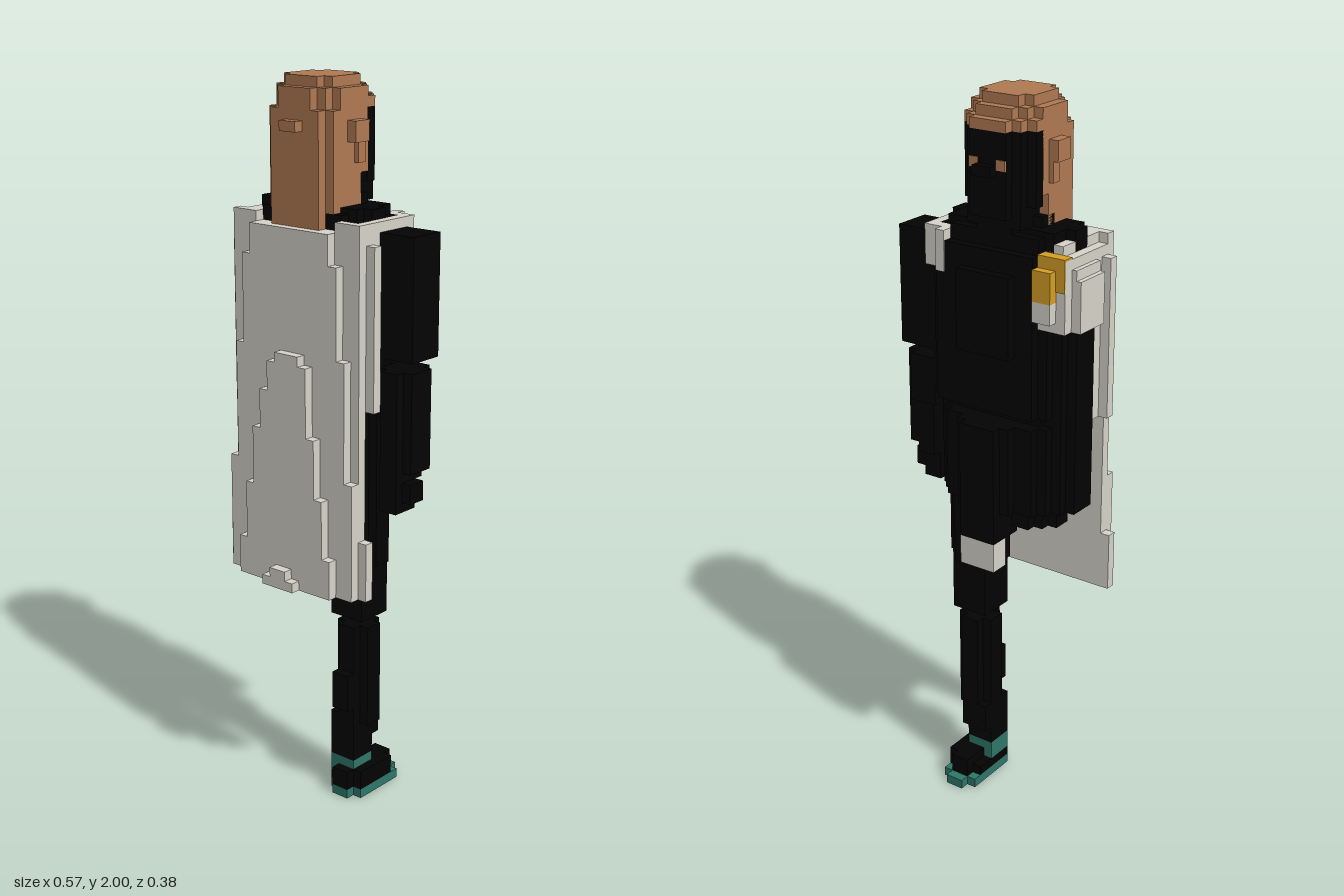
import * as THREE from 'three';
import { mergeGeometries } from 'three/addons/utils/BufferGeometryUtils.js';

// All parts are block-built on a 21 x 74 x 14 lattice
const U = 2 / 74;
const mat = (name, color) => Object.assign(new THREE.MeshStandardMaterial({ color }), { name });

// One block: [x0, x1, y0, y1, z0, z1] in lattice steps
function block([x0, x1, y0, y1, z0, z1]) {
  const g = new THREE.BoxGeometry((x1 - x0) * U, (y1 - y0) * U, (z1 - z0) * U);
  return g.translate(((x0 + x1) / 2 - 10.5) * U, ((y0 + y1) / 2) * U, ((z0 + z1) / 2 - 7) * U);
}

// Blocks forming a column with stepped corners; insets narrow x on each z step inwards
const rounded = (x0, x1, y0, y1, z0, z1, insets = [2, 1, 0]) => insets.map(
  (n, s) => [x0 + n, x1 - n, y0, y1, z0 + s, z1 - s]);

// Rows [y0, y1, x0, x1] stacked in a slab between z0 and z1
const slab = (z0, z1, rows) => rows.map(([y0, y1, x0, x1]) => [x0, x1, y0, y1, z0, z1]);

export function createModel() {
  const root = new THREE.Group();
  const black = mat('black cloth', 0x030303);
  const grey = mat('pale grey cloth', 0xd7d4ca);
  const brown = mat('brown', 0xb17a53);
  const teal = mat('teal', 0x2e7669);
  const gold = mat('gold', 0xd5a026);

  const add = (name, material, blocks) => {
    const mesh = new THREE.Mesh(mergeGeometries(blocks.map(block)), material);
    mesh.name = name;
    root.add(mesh);
  };

  // Head: brown crown and back, dark face, neck
  add('hair', brown, [
    ...rounded(6, 12, 73, 74, 4, 10, [1, 0]),
    ...rounded(5, 13, 72, 73, 3, 11, [2, 1, 0]),
    ...rounded(5, 13, 71, 72, 2, 11, [2, 1, 0]),
    [5, 13, 65, 71, 5, 10], [6, 12, 64, 71, 5, 11],
    [5, 13, 62, 65, 6, 10], [6, 12, 60, 64, 8, 11], [5, 13, 60, 62, 9, 10],
    [8, 10, 69, 70, 11, 12],
  ]);
  add('ears', brown, [
    [4, 5, 68, 70, 6, 8], [4.5, 5, 66, 68, 6, 7],
    [13, 14, 68, 70, 6, 8], [13, 13.5, 66, 68, 6, 7],
  ]);
  add('face', black, [
    [5, 13, 64, 71, 4, 5.1], [6, 12, 63, 71, 3, 5], [7, 11, 63, 71, 2, 5],
    [8, 10, 67, 68, 1, 2], [6, 12, 62, 64, 3, 6],
  ]);
  add('eyes', brown, [[7, 8, 67.5, 68.5, 1.9, 2.1], [10, 11, 67.5, 68.5, 1.9, 2.1]]);
  add('neck', black, rounded(5, 13, 59, 63, 3, 9));

  // Torso, collar and flared jacket
  add('collar', black, [
    [2, 16, 60, 62, 6, 8], [3, 15, 60, 62, 4, 9], [4, 14, 60, 61.5, 3, 10],
    [13, 16, 60, 61, 4, 8], [4, 14, 59, 60.5, 8, 10],
  ]);
  add('chest', black, [
    ...rounded(2, 17, 44, 60, 2, 8, [2, 1, 0]),
    ...rounded(5, 13, 50, 58, 1, 5, [1, 0]),
    [4, 15, 43, 44, 3.5, 8],
  ]);
  add('jacket', black, [
    ...rounded(2, 16, 34, 43, 1, 10, [4, 2, 1, 0]),
    ...rounded(3, 15, 32, 34, 3, 9),
  ]);
  add('frontSleeve', black, [[7, 11, 31, 43, 0, 4]]);
  add('frontHand', grey, [[7, 11, 28, 31, 0, 2]]);

  // Arms
  add('leftUpperArm', black, [[17, 21, 48, 60, 4, 8]]);
  add('leftForearm', black, [[18, 21, 37, 47, 5, 8], [17, 20, 42, 47, 4, 8], [18, 20, 36, 47, 5, 9]]);
  add('leftHand', black, [[18, 20, 33, 37, 6, 9], [20, 21, 34, 36, 6, 8]]);
  add('rightSleeve', black, rounded(1, 5, 34, 54, 4, 9, [1, 0]));

  // Shoulder drapes and gold clasp
  add('leftShoulderDrape', grey, [
    [14, 15, 57, 61, 1.9, 4], [15, 17, 57, 61, 2.9, 4],
    [16, 17, 60, 61, 4, 10], [14, 17, 43, 60, 8, 10],
  ]);
  add('rightShoulderDrape', grey, [
    [0, 2, 53, 58, 4, 8], [1, 4, 53, 60, 2.9, 10], [2, 4, 60, 61, 4, 10],
    [0.5, 2, 58, 59, 4, 8], [1, 2, 43, 59, 8, 10], [2, 4, 54, 56, 1.9, 4],
  ]);
  add('clasp', gold, [[2, 4, 56, 59, 1.9, 3.2], [1, 4, 57, 60.2, 2.8, 4]]);

  // Cape in stepped layers, thickest along the lower centre
  add('cape', grey, [
    ...slab(10, 11, [[59, 61, 1, 4], [59, 61, 14, 17], [30, 59, 1, 17],
      [24, 30, 0, 18], [59, 60, 1, 17]]),
    ...slab(9, 10, [[43, 59, 0, 3], [43, 59, 15, 18]]),
    ...slab(11, 12, [[57, 60, 4, 14], [48, 57, 3, 15], [36, 48, 2, 16], [24, 36, 1, 17]]),
    ...slab(12, 13, [[47, 48, 8, 11], [44, 47, 7, 12], [40, 44, 6, 12], [34, 40, 5, 13],
      [28, 34, 4, 14], [24, 28, 3, 15]]),
    ...slab(13, 14, [[24, 25, 7, 11], [25, 26, 8, 10]]),
  ]);

  // Single standing leg with a gap at the knee
  add('thigh', black, [
    ...rounded(10, 16, 26, 34, 3, 9), [11, 15, 20, 27, 4, 8],
  ]);
  add('shin', black, [
    ...rounded(11, 15, 8, 19, 4, 8, [1, 0]), [11, 14, 6, 9, 4, 8],
    [12, 14, 10, 14, 8, 9], [11, 14, 4, 8, 5, 8],
  ]);
  add('sock', teal, [[11, 14, 2, 4, 5, 8]]);
  add('shoe', black, [[11, 15, 1, 2, 3, 8], [12, 15, 1, 3, 3, 8], [12, 14, 1, 3, 2, 9]]);
  add('sole', teal, [[11, 15, 0, 1, 2, 8], [12, 14, 0, 1, 1, 9]]);

  return root;
}
